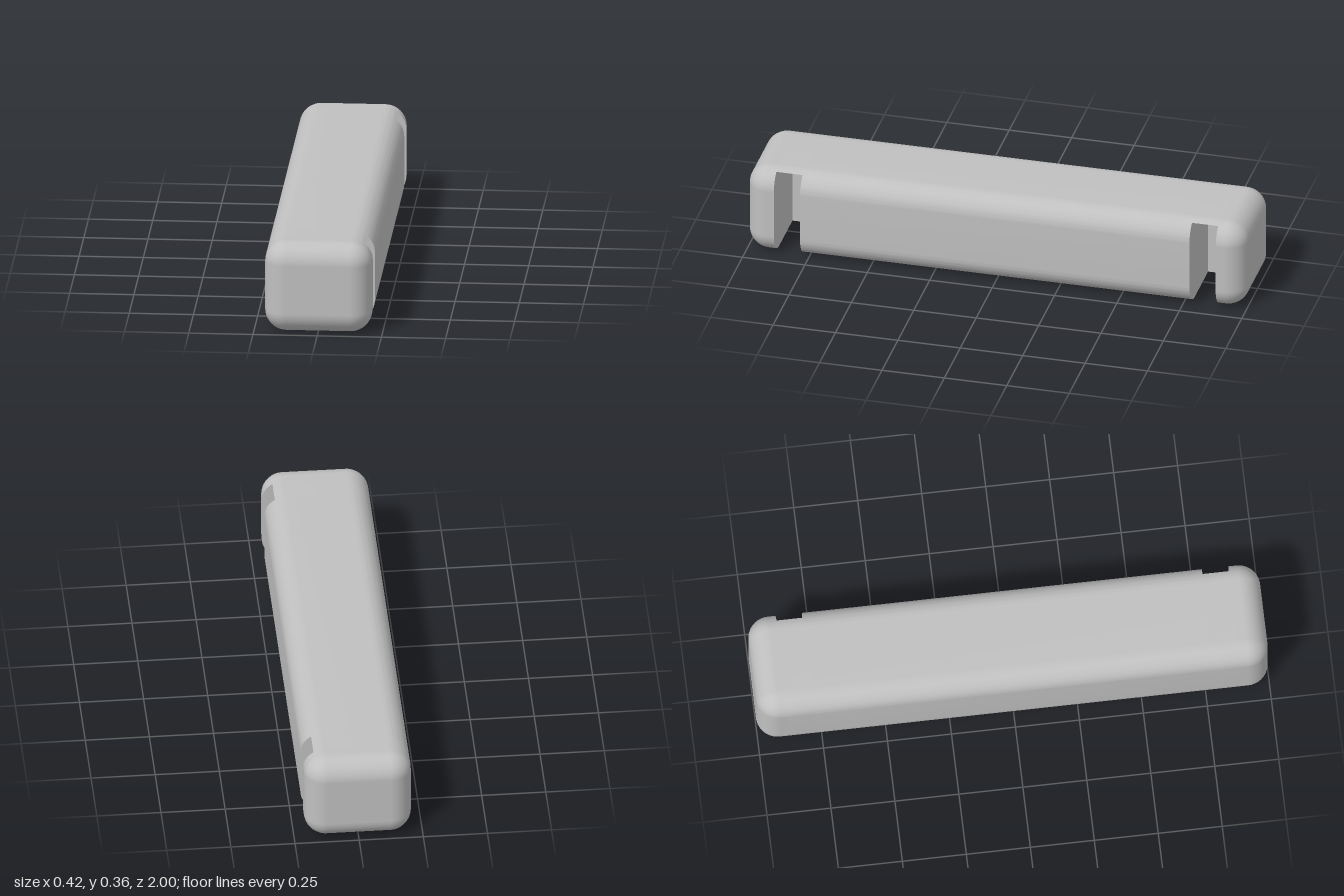
import * as THREE from 'three';
import { toCreasedNormals } from 'three/addons/utils/BufferGeometryUtils.js';

const R = 0.084, TOP = 0.362;            // corner radius, height
const CX = 0.2085 - R, CY = TOP / 2 - R; // corner centres, measured from the bar's axis
const SLOT = { near: 0.78, far: 0.885, inner: -0.085, ceiling: 0.35 };
const SEG = 10;

// Full rounded cross-section
function fullSection() {
  const s = new THREE.Shape();
  [[1, 1], [-1, 1], [-1, -1], [1, -1]].forEach(([x, y], i) =>
    s.absarc(x * CX, TOP / 2 + y * CY, R, i * Math.PI / 2, (i + 1) * Math.PI / 2));
  return s.closePath();
}

// Cross-section through a slot, open at the left side and underneath
function slotSection() {
  const s = new THREE.Shape();
  const start = Math.asin((SLOT.ceiling - TOP + R) / R);
  s.moveTo(SLOT.inner, 0);
  s.lineTo(SLOT.inner, SLOT.ceiling);
  s.absarc(CX, TOP - R, R, start, Math.PI / 2);
  s.absarc(-CX, TOP - R, R, Math.PI / 2, Math.PI);
  s.absarc(-CX, R, R, Math.PI, Math.PI * 1.5);
  return s.closePath();
}

function extrude(shape, z0, z1) {
  const g = new THREE.ExtrudeGeometry(shape, { depth: z1 - z0, bevelEnabled: false, curveSegments: SEG });
  return toCreasedNormals(g.translate(0, 0, z0), 0.6);
}

// Rounded end block, lofted from rings with exact normals
function endGeometry() {
  const rows = [
    { z: SLOT.far, r: 0, k: 0, t: -Math.PI / 2 },
    { z: SLOT.far, r: R, k: 1, t: -Math.PI / 2 },
    { z: SLOT.far, r: R, k: 1, t: 0 },
  ];
  for (let i = 0; i <= SEG; i++) {
    const t = i / SEG * Math.PI / 2;
    rows.push({ z: 1 - R + R * Math.sin(t), r: R * Math.cos(t), k: 1, t });
  }
  rows.push({ z: 1, r: 0, k: 0, t: Math.PI / 2 });

  const pos = [], nor = [], idx = [], n = 4 * (SEG + 1);
  for (const { z, r, k, t } of rows) {
    for (let j = 0; j < n; j++) {
      const q = Math.floor(j / (SEG + 1));
      const a = (q + (j % (SEG + 1)) / SEG) * Math.PI / 2;
      const sx = q === 0 || q === 3 ? 1 : -1, sy = q < 2 ? 1 : -1;
      pos.push(k * sx * CX + r * Math.cos(a), TOP / 2 + k * sy * CY + r * Math.sin(a), z);
      nor.push(Math.cos(a) * Math.cos(t), Math.sin(a) * Math.cos(t), Math.sin(t));
    }
  }
  for (let i = 0; i < rows.length - 1; i++) {
    for (let j = 0; j < n; j++) {
      const a = i * n + j, b = i * n + (j + 1) % n;
      idx.push(a, b, b + n, a, b + n, a + n);
    }
  }
  const g = new THREE.BufferGeometry();
  g.setAttribute('position', new THREE.Float32BufferAttribute(pos, 3));
  g.setAttribute('normal', new THREE.Float32BufferAttribute(nor, 3));
  g.setIndex(idx);
  return g;
}

export function createModel() {
  const model = new THREE.Group();
  model.name = 'slottedBar';
  const grey = new THREE.MeshStandardMaterial({ color: 0xc0c0c0 });
  grey.name = 'grey';
  const add = (name, geometry) => {
    const mesh = new THREE.Mesh(geometry, grey);
    mesh.name = name;
    model.add(mesh);
    return mesh;
  };

  // Long middle, then a slotted stretch and a rounded end at each side
  add('middleBar', extrude(fullSection(), -SLOT.near, SLOT.near));
  add('frontSlot', extrude(slotSection(), SLOT.near, SLOT.far));
  add('backSlot', extrude(slotSection(), -SLOT.far, -SLOT.near));
  add('frontEnd', endGeometry());
  add('backEnd', endGeometry()).rotation.y = Math.PI;
  return model;
}
